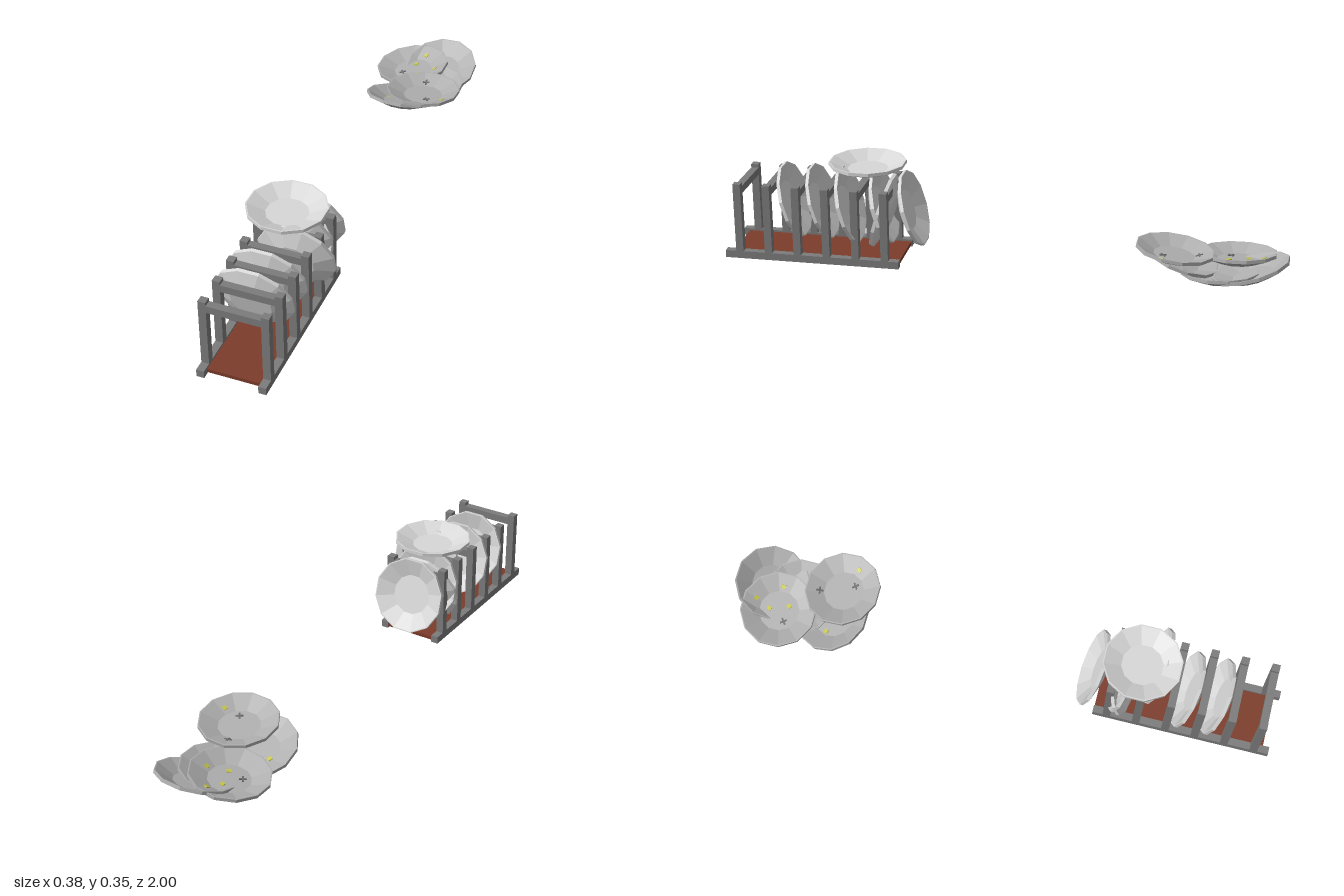
import * as THREE from 'three';

const mat = (name, color) => {
  const m = new THREE.MeshStandardMaterial({ color, flatShading: true });
  m.name = name;
  return m;
};

export function createModel() {
  const metal = mat('rack grey', 0x7c7c7c);
  const rust = mat('tray brown', 0x7c3c2a);
  const clean = mat('clean plate', 0xd8d8d8);
  const used = mat('used plate', 0xb0b0b0);
  const yellow = mat('yellow crumb', 0xc8c84a);
  const grey = mat('grey fleck', 0x6e6e6e);
  const model = new THREE.Group();
  const deg = Math.PI / 180;

  const box = (parent, name, size, pos, material) => {
    const mesh = new THREE.Mesh(new THREE.BoxGeometry(...size), material);
    mesh.name = name;
    mesh.position.set(...pos);
    parent.add(mesh);
    return mesh;
  };

  // Rack: two rails, a tray and six post frames
  const rack = new THREE.Group();
  rack.name = 'dishRack';
  model.add(rack);
  const W = 0.027, midX = -0.019, half = 0.107;
  for (const s of [-1, 1])
    box(rack, 'baseRail', [W, W, 0.635], [midX + s * half, W / 2, 0.6825], metal);
  box(rack, 'tray', [2 * half - W, 0.013, 0.61], [midX, 0.0135, 0.6725],
    [metal, metal, rust, metal, rust, rust]);
  for (let i = 0; i < 6; i++) {
    const z = 0.947 - i * 0.1063;
    for (const s of [-1, 1])
      box(rack, 'post', [W, 0.254, W], [midX + s * half, 0.154, z], metal);
    box(rack, 'crossbar', [2 * half - W, W, W], [midX, 0.255, z], metal);
  }

  // Twelve-sided shallow plate, centred near its middle height
  const profile = [[0, 0], [0.073, 0], [0.138, 0.026], [0.138, 0.038],
    [0.134, 0.038], [0.073, 0.011], [0, 0.011]];
  const plateGeo = new THREE.LatheGeometry(
    profile.map(([r, y]) => new THREE.Vector2(r, y)), 12, Math.PI / 12).toNonIndexed();
  plateGeo.translate(0, -0.025, 0);
  plateGeo.computeVertexNormals();

  const plate = (name, material, pos, rx, rz = 0) => {
    const g = new THREE.Group();
    g.name = name;
    g.position.set(...pos);
    g.rotation.set(rx * deg, 0, rz * deg);
    const mesh = new THREE.Mesh(plateGeo, material);
    mesh.name = 'plate';
    g.add(mesh);
    model.add(g);
    return g;
  };

  // Plates leaning in the rack, and one lying across the top
  const lean = [
    [-0.031, 0.187, 0.782, -73],
    [-0.031, 0.187, 0.677, -73],
    [0.023, 0.203, 0.56, -75],
    [-0.031, 0.187, 0.45, -75],
    [-0.031, 0.167, 0.44, 74],
    [-0.031, 0.183, 0.342, -73],
  ];
  for (const [x, y, z, rx] of lean) plate('rackPlate', clean, [x, y, z], rx);
  plate('topPlate', clean, [-0.031, 0.34, 0.5], 0);

  // Loose pile behind
  plate('pilePlateRear', used, [0.038, 0.065, -0.868], 18, 3);
  plate('pilePlateBottom', used, [0.022, 0.04, -0.76], 2, 6);
  const front = plate('pilePlateFront', used, [-0.031, 0.066, -0.618], -19);
  const middle = plate('pilePlateMiddle', used, [-0.06, 0.08, -0.815], 1, 8);
  const upper = plate('pilePlateUpper', used, [0.055, 0.126, -0.603], -7, 2);

  // Thin crumbs and crossed flecks lying on the plate surface
  const mark = (parent, x, z, crossed) => {
    const r = Math.hypot(x, z);
    const onRim = r > 0.072;
    const g = new THREE.Group();
    g.name = crossed ? 'fleck' : 'crumb';
    g.position.set(x, -0.0125 + (onRim ? (r - 0.072) * 0.443 : 0), z);
    g.rotation.set(0, -Math.atan2(z, x), onRim ? 0.417 : 0, 'YXZ');
    if (crossed) {
      box(g, 'fleckBar', [0.026, 0.003, 0.006], [0, 0, 0], grey);
      box(g, 'fleckBar', [0.006, 0.003, 0.026], [0, 0, 0], grey);
    } else box(g, 'crumbChip', [0.015, 0.003, 0.015], [0, 0, 0], yellow);
    parent.add(g);
  };
  mark(middle, -0.035, 0.026, true);
  mark(middle, 0, -0.037, false);
  mark(middle, 0.024, 0.03, false);
  mark(middle, 0.024, -0.09, false);
  mark(middle, 0.087, -0.005, false);
  mark(upper, -0.016, -0.085, true);
  mark(upper, 0.026, 0.037, true);
  mark(upper, 0.085, 0.037, false);
  mark(front, -0.055, -0.02, false);

  return model;
}
